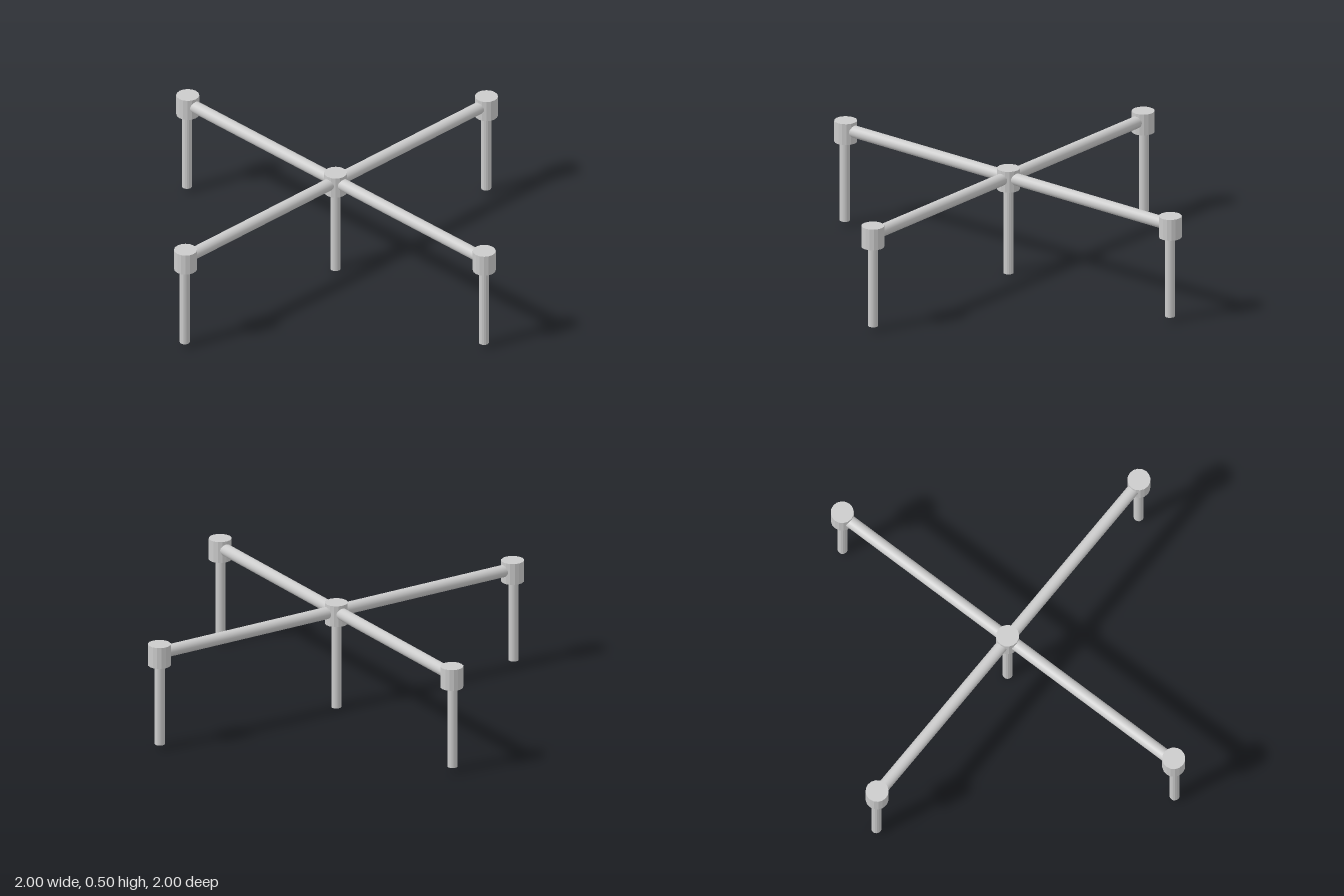
import * as THREE from 'three';

export function createModel() {
  const model = new THREE.Group();
  const flat = new THREE.MeshStandardMaterial({ color: 0xcccccc, flatShading: true });
  const smooth = new THREE.MeshStandardMaterial({ color: 0xcccccc });

  function rod(name, radius, length, sides, material, parent) {
    const mesh = new THREE.Mesh(new THREE.CylinderGeometry(radius, radius, length, sides), material);
    mesh.name = name;
    parent.add(mesh);
    return mesh;
  }

  // A capped hub with a thin leg below it
  function support(name, x, z, legX, legZ, foot) {
    const group = new THREE.Group();
    group.name = name;
    rod('hub', 0.052, 0.1, 16, flat, group).position.set(x, 0.453, z);
    const top = 0.42;
    rod('leg', 0.023, top - foot, 16, flat, group).position.set(legX, (top + foot) / 2, legZ);
    model.add(group);
  }

  support('centreSupport', -0.003, 0, -0.003, 0, 0);
  support('leftSupport', 0.948, 0, 0.946, 0, 0.022);
  support('rightSupport', -0.948, 0, -0.953, 0, 0.022);
  support('frontSupport', 0, 0.948, 0, 0.953, 0.022);
  support('backSupport', 0, -0.948, 0, -0.946, 0.022);

  // Two crossing beams joining the hubs
  const beamX = rod('crossBeam', 0.028, 1.88, 24, smooth, model);
  beamX.rotation.z = Math.PI / 2;
  beamX.position.y = 0.461;
  const beamZ = rod('lengthBeam', 0.028, 1.88, 24, smooth, model);
  beamZ.rotation.x = Math.PI / 2;
  beamZ.position.y = 0.461;

  return model;
}
